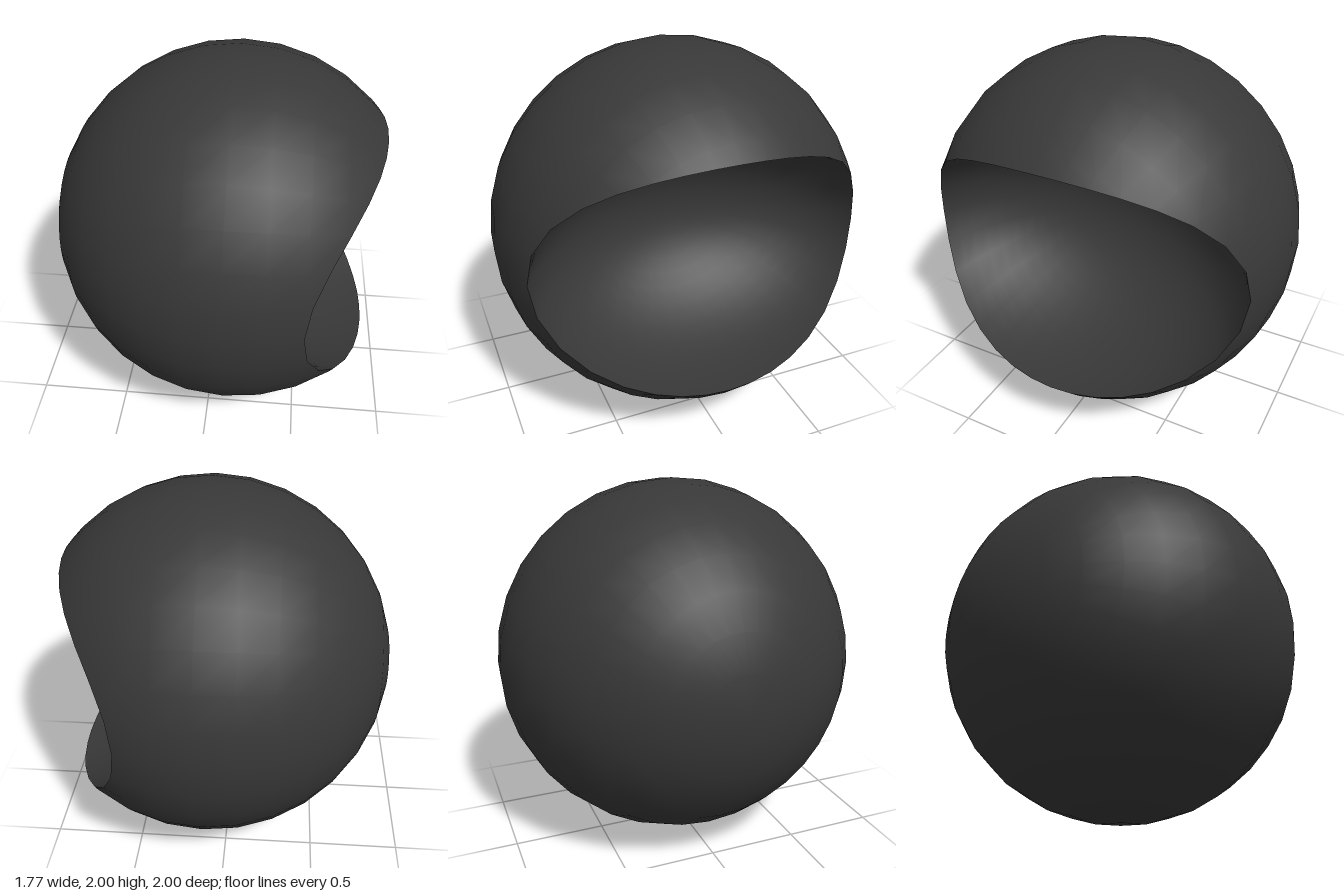
import * as THREE from 'three';

const SIDES = 32;            // facets around the ball
const STEP = Math.PI * 2 / SIDES;
const C = 0.717;                                 // hollow: centre along x
const AXES = new THREE.Vector3(0.82, 0.635, 1);  // hollow: ellipsoid half-axes

// Smooth patch: point(i, j) returns [position, normal]; it faces d/di x d/dj
function patch(name, ni, nj, point, material) {
  const positions = [], normals = [], index = [];
  for (let i = 0; i <= ni; i++) {
    for (let j = 0; j <= nj; j++) {
      const [p, n] = point(i, j);
      positions.push(...p.toArray());
      normals.push(...n.toArray());
      if (i < ni && j < nj) {
        const a = i * (nj + 1) + j, b = a + nj + 1;
        index.push(a, b, a + 1, b, b + 1, a + 1);
      }
    }
  }
  const geometry = new THREE.BufferGeometry();
  geometry.setAttribute('position', new THREE.Float32BufferAttribute(positions, 3));
  geometry.setAttribute('normal', new THREE.Float32BufferAttribute(normals, 3));
  geometry.setIndex(index);
  const mesh = new THREE.Mesh(geometry, material);
  mesh.name = name;
  return mesh;
}

// Point of the unit ball: phi turns about x from +y to +z, alpha runs from the -x pole
const onBall = (phi, alpha) => new THREE.Vector3(
  -Math.cos(alpha), Math.sin(alpha) * Math.cos(phi), Math.sin(alpha) * Math.sin(phi));

// Angle alpha at which the meridian phi meets the ellipsoid of the hollow
function rimAngle(phi) {
  const a = AXES.x ** -2;
  const e = (Math.cos(phi) / AXES.y) ** 2 + (Math.sin(phi) / AXES.z) ** 2;
  const q = a * C * C + e - 1;
  const x = q / (a * C + Math.sqrt((a * C) ** 2 - (a - e) * q));
  return Math.PI - Math.acos(x);
}

export function createModel() {
  const group = new THREE.Group();
  group.name = 'hollowedBall';
  const material = new THREE.MeshStandardMaterial({ color: 0x383838 });

  // Ball surface, its rings stopping at the rim of the hollow
  const shell = patch('ballShell', SIDES, 13, (i, j) => {
    const phi = i * STEP;
    const p = onBall(phi, Math.min(j * STEP, rimAngle(phi)));
    return [p, p];
  }, material);

  // Bowl of the hollow: from the rim to the deepest point, along the ellipsoid
  const rings = 14;
  const bowl = patch('hollowBowl', SIDES, rings, (i, j) => {
    const phi = i * STEP;
    const rim = onBall(phi, rimAngle(phi));
    rim.x -= C;
    rim.divide(AXES);
    const turn = Math.atan2(rim.z, rim.y);
    const q = onBall(turn, Math.acos(THREE.MathUtils.clamp(-rim.x, -1, 1)) * (1 - j / rings));
    const normal = q.clone().divide(AXES).negate().normalize();
    q.multiply(AXES);
    q.x += C;
    return [q, normal];
  }, material);

  group.add(shell, bowl);
  group.position.set(0.114, 1, 0);
  return group;
}
